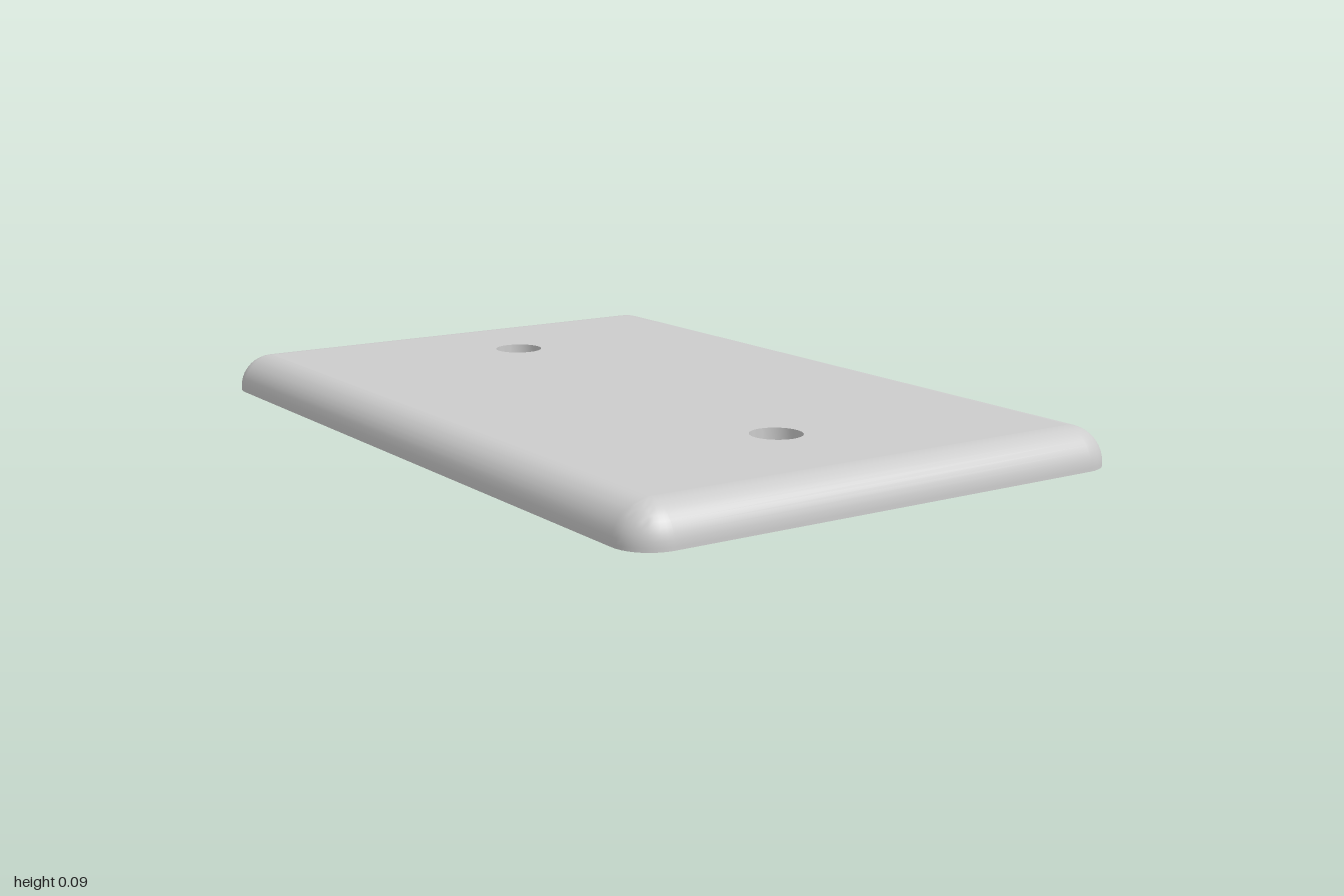
import * as THREE from 'three';
import { toCreasedNormals } from 'three/addons/utils/BufferGeometryUtils.js';

const HALF_X = 0.667, HALF_Z = 1, TOP = 0.093, CEILING = 0.058;
const CORNER = 0.09, FILLET = 0.085, WALL = 0.03;
const BORE = 0.062, HOLE = 0.037, BOSS = 0.226, BOSS_BOTTOM = 0.014, BORE_FLOOR = 0.055;
const HOLES = [[0.025, -0.62], [-0.03, 0.615]];

// Rounded rectangle in plan, drawn in by the given inset
function outline(inset, steps = 10) {
  const r = CORNER - inset, points = [];
  const corners = [[1, 1], [-1, 1], [-1, -1], [1, -1]];
  corners.forEach(([sx, sz], q) => {
    for (let i = 0; i <= steps; i++) {
      const a = (q + i / steps) * Math.PI / 2;
      points.push(new THREE.Vector2(
        sx * (HALF_X - CORNER) + r * Math.cos(a),
        sz * (HALF_Z - CORNER) + r * Math.sin(a)));
    }
  });
  return points;
}

// Skin through rounded rectangles given as [inset, y]
function loft(profile) {
  const positions = [], index = [];
  let n = 0;
  profile.forEach(([inset, y]) => {
    const ring = outline(inset);
    n = ring.length;
    ring.forEach(p => positions.push(p.x, y, p.y));
  });
  for (let k = 0; k < profile.length - 1; k++) {
    for (let i = 0; i < n; i++) {
      const j = (i + 1) % n;
      const a = k * n + i, b = k * n + j, c = a + n, d = b + n;
      index.push(a, c, b, b, c, d);
    }
  }
  const geometry = new THREE.BufferGeometry();
  geometry.setAttribute('position', new THREE.Float32BufferAttribute(positions, 3));
  geometry.setIndex(index);
  return toCreasedNormals(geometry, 0.6);
}

// Flat panel with round openings, facing up (+1) or down (-1)
function panel(inset, y, radius, facing) {
  const shape = new THREE.Shape(outline(inset));
  HOLES.forEach(([x, z]) => {
    const hole = new THREE.Path();
    hole.absarc(x, -facing * z, radius, 0, Math.PI * 2, true);
    shape.holes.push(hole);
  });
  return new THREE.ShapeGeometry(shape, 24).rotateX(-facing * Math.PI / 2).translate(0, y, 0);
}

export function createModel() {
  const group = new THREE.Group();
  group.name = 'wallPlate';
  const grey = new THREE.MeshStandardMaterial({ color: 0xcccccc });
  grey.name = 'light grey';
  const add = (name, geometry) => {
    const mesh = new THREE.Mesh(geometry, grey);
    mesh.name = name;
    group.add(mesh);
    return mesh;
  };

  // Edge: inner curve down to the rim, then outer curve up to the top
  const profile = [], steps = 10, low = TOP - FILLET;
  for (let i = steps; i >= 0; i--) {
    const a = i / steps * Math.PI / 2;
    profile.push([WALL + (FILLET - WALL) * (1 - Math.cos(a)), low + (CEILING - low) * Math.sin(a)]);
  }
  profile.push([WALL, 0], [0, 0]);
  for (let i = 0; i <= steps; i++) {
    const a = i / steps * Math.PI / 2;
    profile.push([FILLET * (1 - Math.cos(a)), low + FILLET * Math.sin(a)]);
  }
  add('roundedEdge', loft(profile));

  // Top face and underside
  add('topFace', panel(FILLET, TOP, BORE, 1));
  add('underside', panel(FILLET, CEILING, BOSS, -1));

  // Screw bosses with counterbored through holes
  const section = [
    [BORE, TOP], [BORE, BORE_FLOOR], [HOLE, BORE_FLOOR],
    [HOLE, BOSS_BOTTOM], [BOSS, BOSS_BOTTOM], [BOSS, CEILING],
  ].map(([r, y]) => new THREE.Vector2(r, y));
  const boss = toCreasedNormals(new THREE.LatheGeometry(section, 48), 0.6);
  HOLES.forEach(([x, z], i) => {
    add(i === 0 ? 'backScrewBoss' : 'frontScrewBoss', boss).position.set(x, 0, z);
  });
  return group;
}
